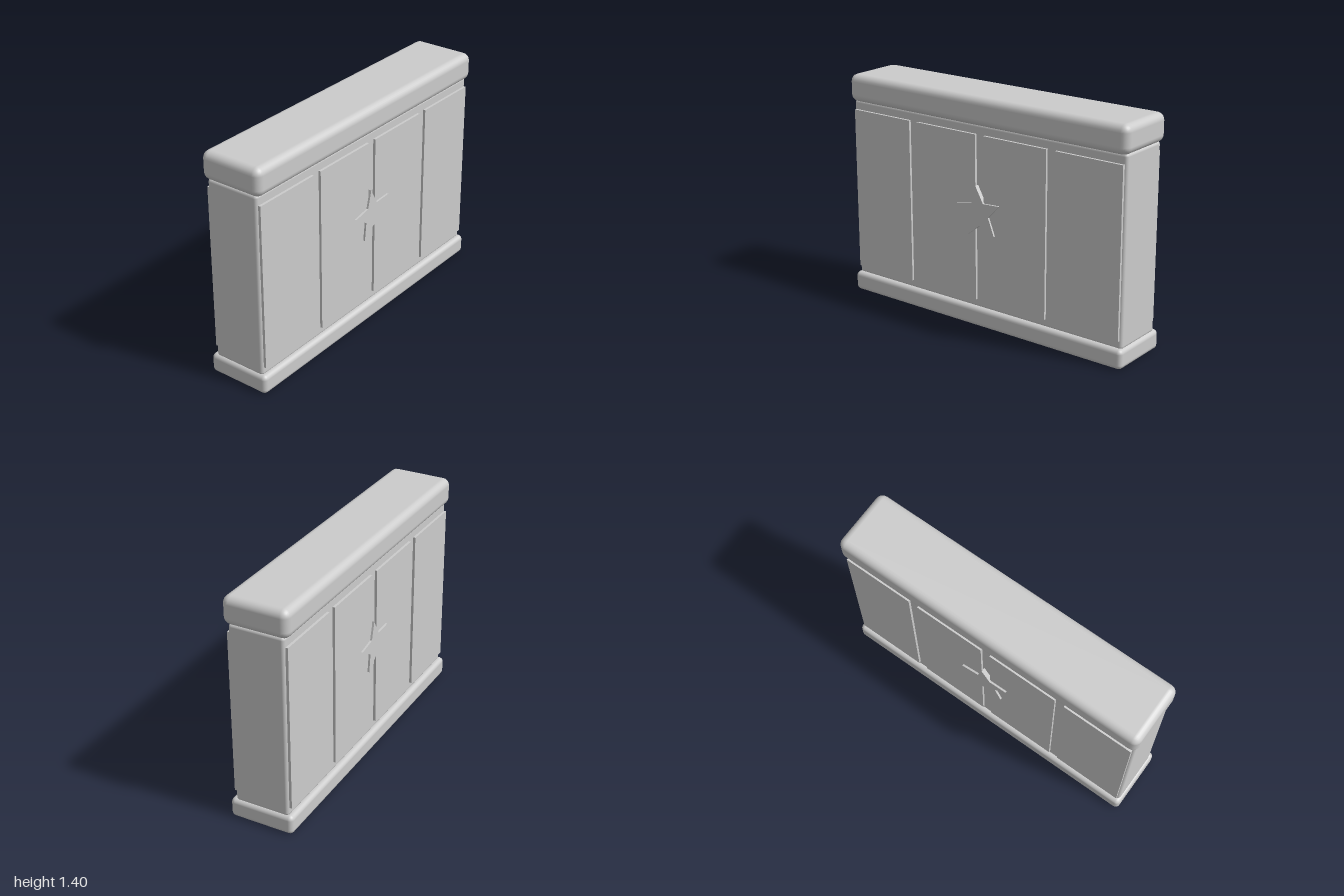
import * as THREE from 'three';
import { RoundedBoxGeometry } from 'three/addons/geometries/RoundedBoxGeometry.js';

export function createModel() {
  const group = new THREE.Group();
  const stone = new THREE.MeshStandardMaterial({ color: 0xcccccc });
  stone.name = 'stone';

  const add = (name, geometry, parent, x, y, z) => {
    const mesh = new THREE.Mesh(geometry, stone);
    mesh.name = name;
    mesh.position.set(x, y, z);
    parent.add(mesh);
  };

  // Rounded slab between two heights
  const slab = (name, width, depth, bottom, top, radius) =>
    add(name, new RoundedBoxGeometry(width, top - bottom, depth, 3, radius), group, 0, (bottom + top) / 2, 0);

  slab('base', 2, 0.4, 0, 0.12, 0.028);
  slab('wall', 1.97, 0.34, 0.11, 1.24, 0.02);
  slab('cap', 2, 0.4, 1.23, 1.4, 0.045);

  // Slightly tilted five-pointed star
  const points = [];
  for (let i = 0; i < 10; i++) {
    const angle = THREE.MathUtils.degToRad(97.3 + i * 36);
    const r = i % 2 ? 0.073 : 0.165;
    points.push(new THREE.Vector2(r * Math.cos(angle), r * Math.sin(angle)));
  }
  const starGeometry = new THREE.ExtrudeGeometry(new THREE.Shape(points), { depth: 0.032, bevelEnabled: false });
  const panelGeometry = new THREE.BoxGeometry(0.44, 1.015, 0.03);

  // Four panels and a star on each face; the back is the front turned round
  for (const [name, turn] of [['frontFace', 0], ['backFace', Math.PI]]) {
    const face = new THREE.Group();
    face.name = name;
    face.rotation.y = turn;
    for (const x of [-0.75, -0.25, 0.25, 0.75]) add('panel', panelGeometry, face, x, 0.6725, 0.17);
    add('star', starGeometry, face, 0, 0.714, 0.165);
    group.add(face);
  }
  return group;
}
